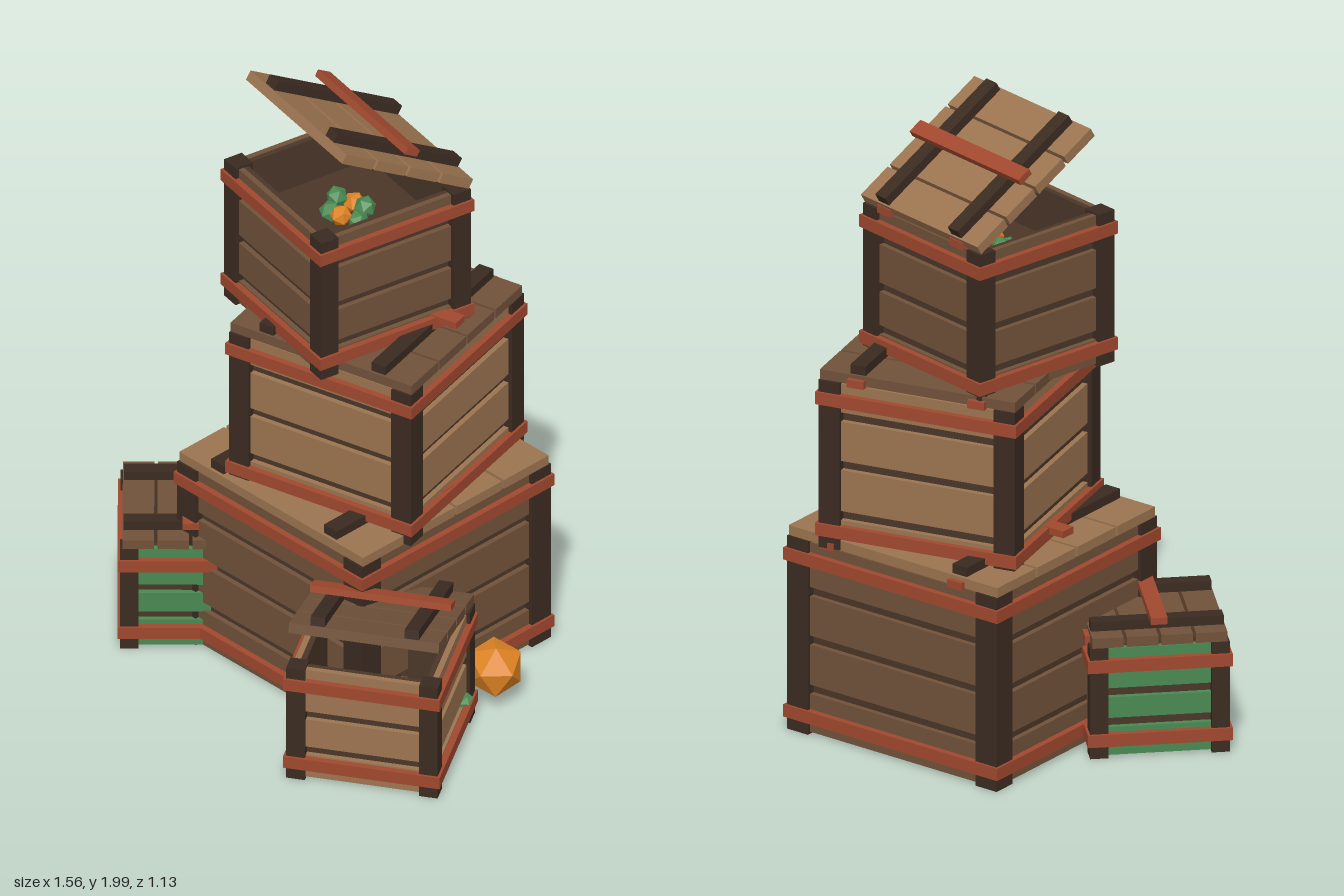
import * as THREE from 'three';

const mat = (name, color) => {
  const m = new THREE.MeshStandardMaterial({ color });
  m.name = name;
  return m;
};

export function createModel() {
  const light = mat('light wood', 0x9c7450);
  const dark = mat('dark wood', 0x71523a);
  const frame = mat('frame wood', 0x3b2b21);
  const inner = mat('inner wood', 0x4a3628);
  const red = mat('red strap', 0xa0482e);
  const green = mat('green paint', 0x4a8a52);
  const orange = mat('orange gem', 0xdf8424);

  const model = new THREE.Group();
  model.name = 'crateStack';

  const box = (parent, name, material, size, pos) => {
    const m = new THREE.Mesh(new THREE.BoxGeometry(...size), material);
    m.position.set(...pos);
    m.name = name;
    parent.add(m);
    return m;
  };

  const gem = (parent, name, material, r, pos, rot = [0, 0, 0]) => {
    const m = new THREE.Mesh(new THREE.IcosahedronGeometry(r, 0), material);
    m.position.set(...pos);
    m.rotation.set(...rot);
    m.name = name;
    parent.add(m);
    return m;
  };

  // Lid: four planks, two dark battens, one red cross strap; pivots on its back edge
  function makeLid(s, material, tilt) {
    const lid = new THREE.Group();
    lid.name = 'lid';
    const w = s - 0.02, pitch = w / 4, gap = 0.01, t = 0.032;
    for (let i = 0; i < 4; i++) {
      box(lid, 'lidPlank', material, [w, t, pitch - gap], [0, t / 2, pitch * (i + 0.5)]);
    }
    for (const side of [-1, 1]) {
      box(lid, 'lidBatten', frame, [0.03 + s * 0.03, 0.03, w * 0.96], [side * s * 0.3, t + 0.015, w / 2]);
    }
    box(lid, 'lidStrap', red, [s * 0.9, 0.022, 0.05], [0, t + 0.041, w / 2]);
    lid.rotation.x = -tilt;
    return lid;
  }

  // Crate: hollow body, planked walls, corner posts, two strap rings and a lid
  function makeCrate({ name, s, h, pos, turn, panel, lid, gaps, tilt = 0 }) {
    const crate = new THREE.Group();
    crate.name = name;
    crate.position.set(...pos);
    crate.rotation.y = turn;
    const half = s / 2, post = 0.026 + s * 0.066, po = half - 0.008;

    box(crate, 'floor', panel, [s - 0.06, 0.03, s - 0.06], [0, 0.02, 0]);
    box(crate, 'innerFloor', inner, [s - 0.08, 0.01, s - 0.08], [0, 0.04, 0]);

    const edges = [0, ...gaps, 1];
    for (let k = 0; k < 4; k++) {
      const side = new THREE.Group();
      side.name = 'side';
      side.rotation.y = k * Math.PI / 2;
      crate.add(side);
      box(side, 'innerWall', inner, [s - 0.08, h - 0.015, 0.018], [0, h / 2, half - 0.046]);
      for (let i = 0; i < edges.length - 1; i++) {
        const y0 = Math.max(edges[i] * h + (i ? 0.015 : 0.006), 0);
        const y1 = edges[i + 1] * h - (i < edges.length - 2 ? 0.015 : 0.006);
        box(side, 'plank', panel, [s - 0.06, y1 - y0, 0.018], [0, (y0 + y1) / 2, half - 0.029]);
      }
      box(side, 'post', frame, [post, h, post], [po - post / 2, h / 2, po - post / 2]);
      for (const y of [0.06, h - 0.058]) {
        box(side, 'strap', red, [s, 0.04, 0.03], [0, y, half - 0.015]);
      }
    }

    const top = makeLid(s, lid, tilt);
    top.position.set(0, h, -half + 0.01);
    crate.add(top);
    for (const side of [-1, 1]) {
      box(crate, 'hinge', red, [0.055, 0.025, 0.025], [side * s * 0.3, h + 0.008, -half + 0.012]);
    }
    model.add(crate);
    return crate;
  }

  // Main stack
  makeCrate({ name: 'bottomCrate', s: 0.81, h: 0.632, pos: [-0.005, 0, -0.145], turn: 0,
    panel: dark, lid: light, gaps: [0.23, 0.484, 0.735] });
  makeCrate({ name: 'middleCrate', s: 0.66, h: 0.547, pos: [0.025, 0.634, -0.168], turn: 0.24,
    panel: light, lid: dark, gaps: [0.2, 0.5, 0.79] });
  const open = makeCrate({ name: 'topCrate', s: 0.552, h: 0.497, pos: [-0.045, 1.181, -0.115], turn: -0.2,
    panel: dark, lid: light, gaps: [0.2, 0.48, 0.79], tilt: 0.52 });

  // Small crates leaning in at either side
  makeCrate({ name: 'leftCrate', s: 0.485, h: 0.4, pos: [0.445, 0, 0.226], turn: 0.556,
    panel: light, lid: dark, gaps: [0.25, 0.57, 0.85], tilt: 0.25 });
  makeCrate({ name: 'rightCrate', s: 0.44, h: 0.36, pos: [-0.472, 0, 0.126], turn: -0.777,
    panel: green, lid: dark, gaps: [0.31, 0.58, 0.85] });

  // Gems heaped inside the open crate
  box(open, 'fill', inner, [0.46, 0.3, 0.46], [0, 0.19, 0]);
  for (let i = 0; i < 6; i++) {
    const a = i * 1.05;
    gem(open, 'heapedGem', i % 3 === 1 ? orange : green, 0.035,
      [Math.cos(a) * 0.06, 0.36 + (i % 2) * 0.02, Math.sin(a) * 0.05], [a, a * 2, 0]);
  }

  // Loose gems
  gem(model, 'largeGem', orange, 0.092, [0.525, 0.132, -0.176], [0.35, 0.5, 0.25]);
  gem(model, 'smallGem', green, 0.034, [0.548, 0.1, -0.018], [0.2, 0.4, 0]).scale.set(1, 0.4, 1);

  return model;
}
